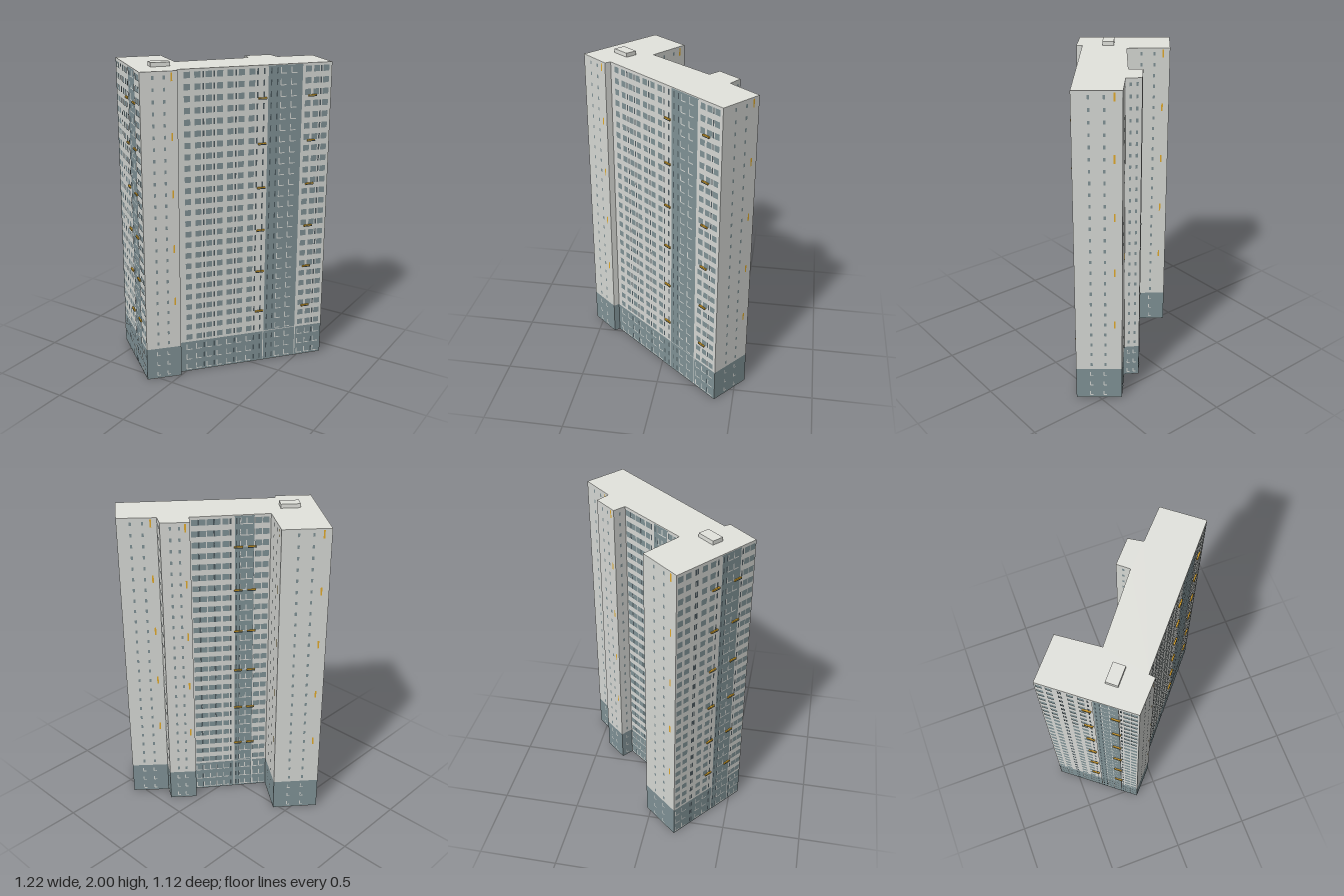
import * as THREE from 'three';
import { mergeGeometries } from 'three/addons/utils/BufferGeometryUtils.js';

const mat = (name, color) => {
  const m = new THREE.MeshStandardMaterial({ color });
  m.name = name;
  return m;
};

// Footprint corners [x, z], each wall running left to right as seen from outside
const PLAN = [
  [-0.61, 0.19], [-0.15, 0.555], [0, 0.39], [-0.025, 0.36], [0.61, -0.385], [0.39, -0.56],
  [0.23, -0.385], [0.15, -0.435], [0.035, -0.305], [0.1, -0.25], [-0.2, 0.13], [-0.42, -0.03],
];
const TOP = 1.975, FLOOR = TOP / 28, BASE = FLOOR * 3, SLAB = 0.003;

// Wall layouts, as fractions of the wall length
const along = (x0, x1, xs) => xs.map((x) => (x - x0) / (x1 - x0));
const END = { slits: [0.34, 0.64], marks: [0.84] };
const WALLS = {
  0: {
    wide: along(-0.61, -0.15, [-0.588, -0.545, -0.452, -0.405, -0.205, -0.172]),
    dark: along(-0.61, -0.15, [-0.503, -0.493, -0.375, -0.23]),
    strip: along(-0.61, -0.15, [-0.355, -0.24]),
    ledges: along(-0.61, -0.15, [-0.385, -0.255]),
  },
  1: END,
  3: {
    wide: along(-0.025, 0.61, [0.013, 0.055, 0.1, 0.145, 0.187, 0.232, 0.275, 0.51, 0.545, 0.585]),
    dark: along(-0.025, 0.61, [0.078, 0.122, 0.21, 0.298, 0.325, 0.565]),
    strip: along(-0.025, 0.61, [0.34, 0.487]),
    ledges: along(-0.025, 0.61, [0.32, 0.53]),
  },
  4: END,
  5: END,
  6: { slits: [0.3, 0.7] },
  7: END,
  8: { slits: [0.5] },
  9: {
    wide: [0.06, 0.16, 0.25, 0.34, 0.44, 0.85, 0.94],
    dark: [0.11, 0.3, 0.5, 0.8],
    strip: [0.55, 0.8],
    ledges: [0.6, 0.77],
  },
  10: END,
  11: END,
};

function prism(y0, y1, material, name) {
  const shape = new THREE.Shape(PLAN.map(([x, z]) => new THREE.Vector2(x, -z)));
  const geo = new THREE.ExtrudeGeometry(shape, { depth: y1 - y0, bevelEnabled: false });
  geo.rotateX(-Math.PI / 2).translate(0, y0, 0);
  const mesh = new THREE.Mesh(geo, material);
  mesh.name = name;
  return mesh;
}

export function createModel() {
  const wall = mat('pale wall', 0xd7d9d5);
  const roof = mat('roof grey', 0xe3e4de);
  const slate = mat('slate blue', 0x809296);
  const dark = mat('dark glass', 0x4b585d);
  const amber = mat('amber', 0xe2aa2a);

  const model = new THREE.Group();
  model.name = 'towerBlock';
  model.add(
    prism(0, SLAB, wall, 'underside'),
    prism(SLAB, BASE, slate, 'base'),
    prism(BASE, TOP - SLAB, wall, 'tower'),
    prism(TOP - SLAB, TOP, roof, 'roofSlab'),
  );

  // Lift housing on the roof, turned with the long wing
  const housing = new THREE.Mesh(new THREE.BoxGeometry(0.12, 0.03, 0.073), roof);
  housing.name = 'roofHousing';
  housing.position.set(-0.192, TOP + 0.01, 0.305);
  housing.rotation.y = Math.atan2(0.745, 0.635);
  model.add(housing);

  Object.entries(WALLS).forEach(([key, spec]) => {
    const i = Number(key);
    const [ax, az] = PLAN[i], [bx, bz] = PLAN[(i + 1) % PLAN.length];
    const len = Math.hypot(bx - ax, bz - az);
    const group = new THREE.Group();
    group.name = 'facade' + (i + 1);
    group.position.set(ax, 0, az);
    group.rotation.y = Math.atan2(az - bz, bx - ax);
    model.add(group);

    // Geometries are collected by part, then merged
    const parts = {};
    const collect = (name, material, geo) => (parts[name] ??= { material, geos: [] }).geos.push(geo);
    const face = (name, material, u, y, w, h, z) =>
      collect(name, material, new THREE.PlaneGeometry(w, h).translate(u, y, z));
    // Pale sill and jamb for windows set in slate surfaces
    const frame = (u, y, w, h) => {
      face('windowFrames', wall, u, y - h / 2, w, 0.006, 0.003);
      face('windowFrames', wall, u - w / 2, y, 0.006, h, 0.003);
    };
    const { wide = [], dark: narrow = [], slits = [], marks = [], ledges = [], strip } = spec;

    for (let f = 0; f < 28; f++) {
      const y = (f + 0.5) * FLOOR, inBase = f < 3;
      for (const t of wide) {
        if (inBase) frame(t * len, y, 0.036, 0.038);
        else face('windows', slate, t * len, y, 0.038, 0.037, 0.002);
      }
      for (const t of narrow) face('narrowWindows', dark, t * len, y, 0.01, 0.036, 0.002);
      for (const t of slits) {
        if (inBase) frame(t * len, y, 0.018, 0.026);
        else face('slitWindows', slate, t * len, y, 0.013, 0.022, 0.002);
      }
      if (strip) {
        const [s0, s1] = strip.map((t) => t * len);
        for (const k of [0.45, 0.75]) frame(s0 + (s1 - s0) * k, y, 0.036, 0.038);
        for (const k of [0.1, 0.27]) face('narrowWindows', dark, s0 + (s1 - s0) * k, y, 0.008, 0.036, 0.003);
      }
    }

    // Slate strip with slim pale pilasters
    if (strip) {
      const [s0, s1] = strip.map((t) => t * len);
      face('slateStrip', slate, (s0 + s1) / 2, (BASE + TOP) / 2, s1 - s0, TOP - BASE - 0.01, 0.0015);
      for (const s of [s0, s1]) face('pilasters', wall, s, TOP / 2, 0.006, TOP - 0.02, 0.004);
    }

    // Amber ledges with dark lower fronts every fourth floor, upright marks every fifth
    for (const t of ledges) {
      for (let k = 0; k < 6; k++) {
        const y = 0.365 + k * FLOOR * 4;
        collect('ledges', amber, new THREE.BoxGeometry(0.052, 0.011, 0.01).translate(t * len, y, 0.005));
        face('ledgeFronts', dark, t * len, y - 0.0025, 0.052, 0.006, 0.011);
      }
    }
    for (const t of marks) {
      for (let k = 0; k < 5; k++) face('uprightMarks', amber, t * len, 0.53 + k * FLOOR * 5, 0.01, 0.05, 0.002);
    }

    for (const [name, { material, geos }] of Object.entries(parts)) {
      const mesh = new THREE.Mesh(mergeGeometries(geos), material);
      mesh.name = name;
      group.add(mesh);
    }
  });
  return model;
}
